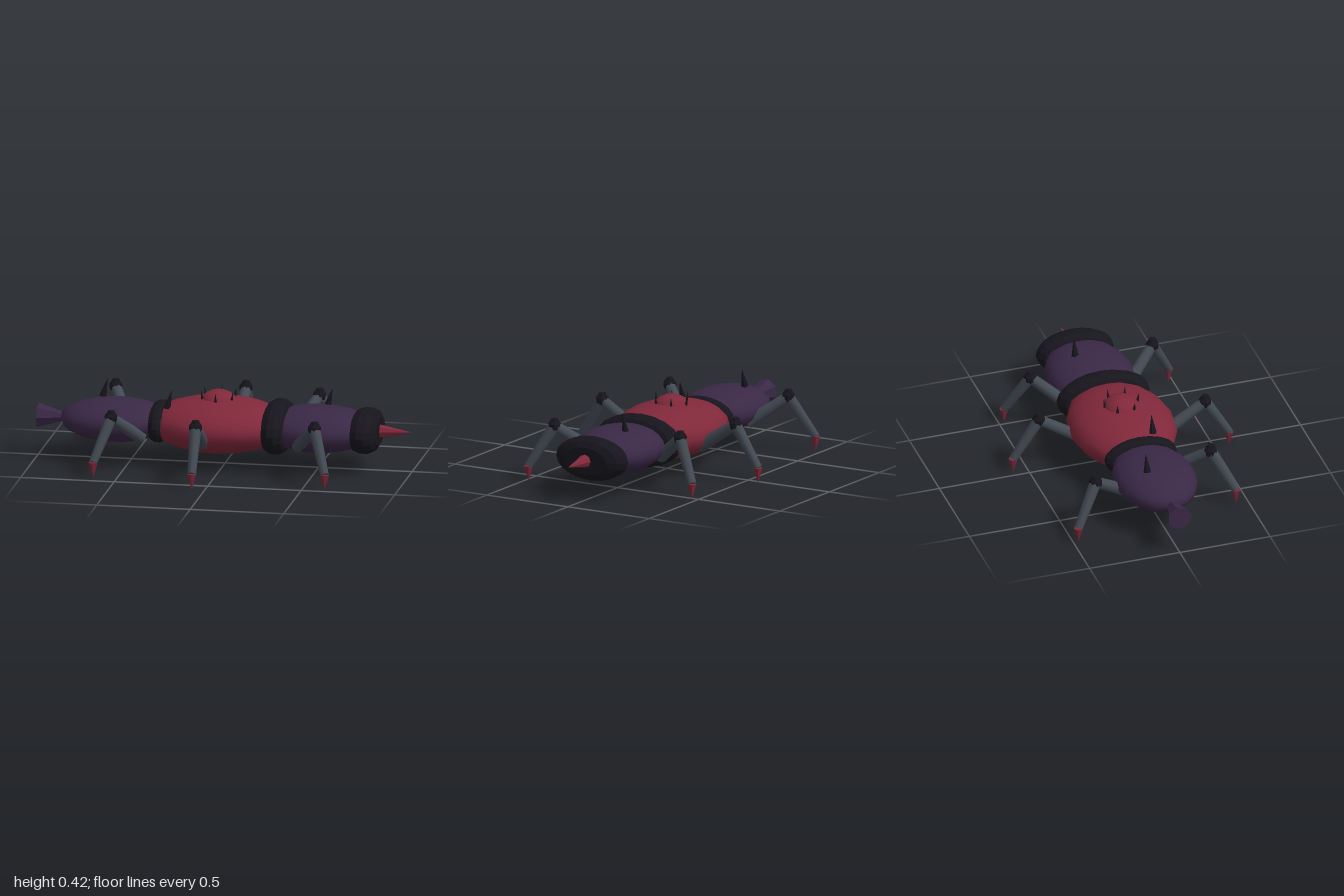
import * as THREE from 'three';

const mat = (color, flatShading = false) => new THREE.MeshStandardMaterial({ color, flatShading });

export function createModel() {
  const model = new THREE.Group();
  const purple = mat(0x3a2846), red = mat(0x80283a), redFlat = mat(0x80283a, true);
  const purpleFlat = mat(0x3a2846, true), dark = mat(0x17151c, true), steel = mat(0x434a53);
  const V = (x, y, z) => new THREE.Vector3(x, y, z);
  const Y = 0.212; // height of the body axis

  const add = (name, geometry, material, parent = model) => {
    const mesh = new THREE.Mesh(geometry, material);
    mesh.name = name;
    parent.add(mesh);
    return mesh;
  };
  // tapered rod from a to b
  const rod = (name, a, b, ra, rb, sides, material, parent) => {
    const dir = b.clone().sub(a);
    const mesh = add(name, new THREE.CylinderGeometry(rb, ra, dir.length(), sides), material, parent);
    mesh.position.copy(a).add(b).multiplyScalar(0.5);
    mesh.quaternion.setFromUnitVectors(V(0, 1, 0), dir.normalize());
    return mesh;
  };

  // body segments: flattened ellipsoids
  const segment = (name, x, rx, ry, rz, material) => {
    const g = new THREE.SphereGeometry(1, 16, 12).scale(rx, ry, rz);
    add(name, g, material).position.set(x, Y, 0);
  };
  segment('rearSegment', -0.58, 0.3, 0.112, 0.217, purple);
  segment('middleSegment', -0.03, 0.38, 0.146, 0.281, red);
  segment('frontSegment', 0.5, 0.31, 0.121, 0.233, purple);

  // dark bands between the segments and at the front end
  const band = (name, x, half, ry, rz) => {
    const profile = [[0, -1], [0.62, -1], [0.88, -0.72], [1, -0.25], [1, 0.25], [0.88, 0.72], [0.62, 1], [0, 1]]
      .map(([r, h]) => new THREE.Vector2(r, h));
    const g = new THREE.LatheGeometry(profile, 20).rotateZ(-Math.PI / 2).scale(half, ry, rz);
    add(name, g, dark).position.set(x, Y, 0);
  };
  band('rearBand', -0.345, 0.05, 0.106, 0.197);
  band('middleBand', 0.283, 0.07, 0.14, 0.252);
  band('frontBand', 0.755, 0.075, 0.116, 0.21);

  // horn at the front, flared tail at the back
  rod('horn', V(0.8, Y, 0), V(1, Y, 0), 0.042, 0, 8, redFlat);
  rod('tail', V(-1, Y, 0), V(-0.8, Y, 0), 0.066, 0.005, 7, purpleFlat);

  // dome with its crown of thorns
  add('dome', new THREE.SphereGeometry(1, 14, 8).scale(0.1, 0.07, 0.1), red).position.set(-0.035, 0.326, -0.005);
  for (let i = 0; i < 6; i++) {
    const a = i * Math.PI / 3 + Math.PI / 6;
    const at = (r, y) => V(-0.035 + r * Math.cos(a), y, -0.005 + r * Math.sin(a));
    rod('domeThorn', at(0.088, 0.335), at(0.098, 0.398), 0.011, 0, 5, dark);
  }

  // large back thorns, leaning forward
  for (const [x, y, z] of [[-0.667, 0.315, -0.07], [-0.295, 0.305, 0.085], [0.535, 0.318, -0.07]])
    rod('backThorn', V(x, y, z), V(x + 0.027, y + 0.1, z), 0.021, 0, 6, dark);

  // legs: hip, knee and foot as [x, z]
  const legs = [
    [[-0.42, 0.15], [-0.55, 0.32], [-0.625, 0.435]],
    [[-0.075, 0.22], [-0.075, 0.445], [-0.07, 0.58]],
    [[0.42, 0.18], [0.545, 0.36], [0.62, 0.475]],
    [[-0.55, -0.16], [-0.65, -0.35], [-0.727, -0.47]],
    [[0.03, -0.22], [0.03, -0.44], [0.033, -0.58]],
    [[0.34, -0.17], [0.44, -0.35], [0.518, -0.47]],
  ];
  for (const [hip, knee, foot] of legs) {
    const leg = new THREE.Group();
    leg.name = 'leg';
    model.add(leg);
    const k = V(knee[0], 0.298, knee[1]);
    rod('thigh', V(hip[0], 0.155, hip[1]), k, 0.034, 0.029, 8, steel, leg);
    rod('shin', k, V(foot[0], 0.083, foot[1]), 0.032, 0.023, 8, steel, leg);
    add('knee', new THREE.SphereGeometry(0.037, 7, 5), dark, leg).position.copy(k);
    add('kneeCap', new THREE.CylinderGeometry(0.02, 0.031, 0.035, 6), dark, leg).position.set(k.x, 0.32, k.z);
    rod('claw', V(foot[0], 0.083, foot[1]), V(foot[0], 0, foot[1]), 0.026, 0, 6, redFlat, leg);
  }
  return model;
}
